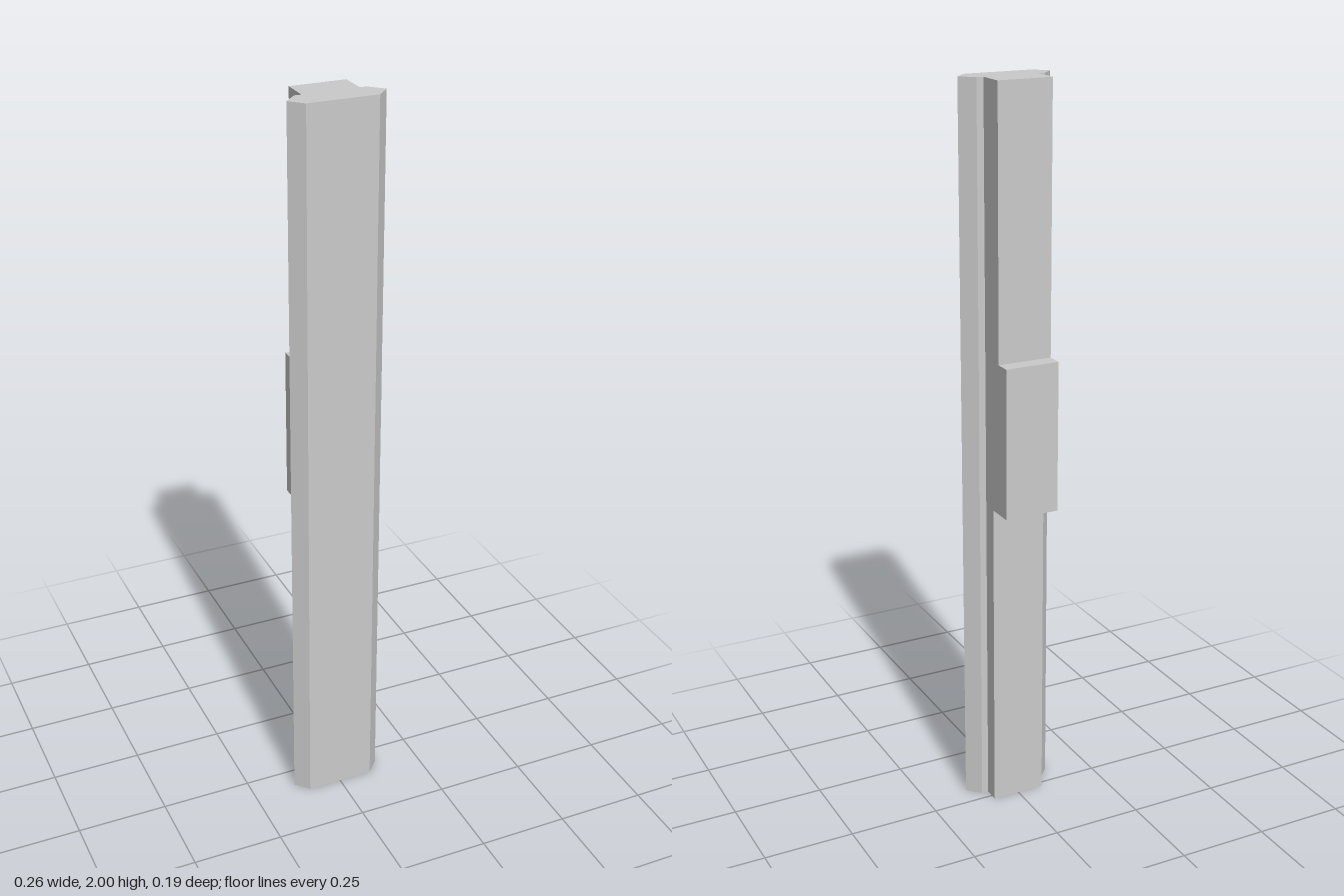
import * as THREE from 'three';

const HEIGHT = 2;
const STEM_WIDTH = 0.15;
const JOINT_Z = 0.024; // plane where the stem meets the rail

const material = new THREE.MeshStandardMaterial({ color: 0xcccccc, flatShading: true });

// Extrudes a closed outline of [x, y] points
function extrude(points, depth) {
  const shape = new THREE.Shape(points.map(([x, y]) => new THREE.Vector2(x, y)));
  return new THREE.ExtrudeGeometry(shape, { depth, bevelEnabled: false });
}

function addPart(group, name, geometry) {
  const mesh = new THREE.Mesh(geometry, material);
  mesh.name = name;
  group.add(mesh);
}

export function createModel() {
  const group = new THREE.Group();
  group.name = 'slidingRail';

  // Front rail: six-sided section with pointed edges, drawn as [x, -z] and run upwards
  const front = -0.096, back = -JOINT_Z, tip = -0.06;
  const rail = extrude([
    [-0.094, front], [0.094, front], [0.128, tip],
    [0.094, back], [-0.094, back], [-0.128, tip],
  ], HEIGHT);
  rail.rotateX(-Math.PI / 2);
  addPart(group, 'frontRail', rail);

  // Back stem: stepped side profile drawn as [z, y], thin below, raised block, medium above
  const stem = extrude([
    [JOINT_Z, 0], [JOINT_Z, HEIGHT], [-0.053, HEIGHT], [-0.053, 1.29],
    [-0.096, 1.29], [-0.096, 0.88], [-0.018, 0.88], [-0.018, 0],
  ], STEM_WIDTH);
  stem.rotateY(-Math.PI / 2);
  stem.translate(STEM_WIDTH / 2, 0, 0);
  addPart(group, 'steppedBackStem', stem);

  return group;
}
